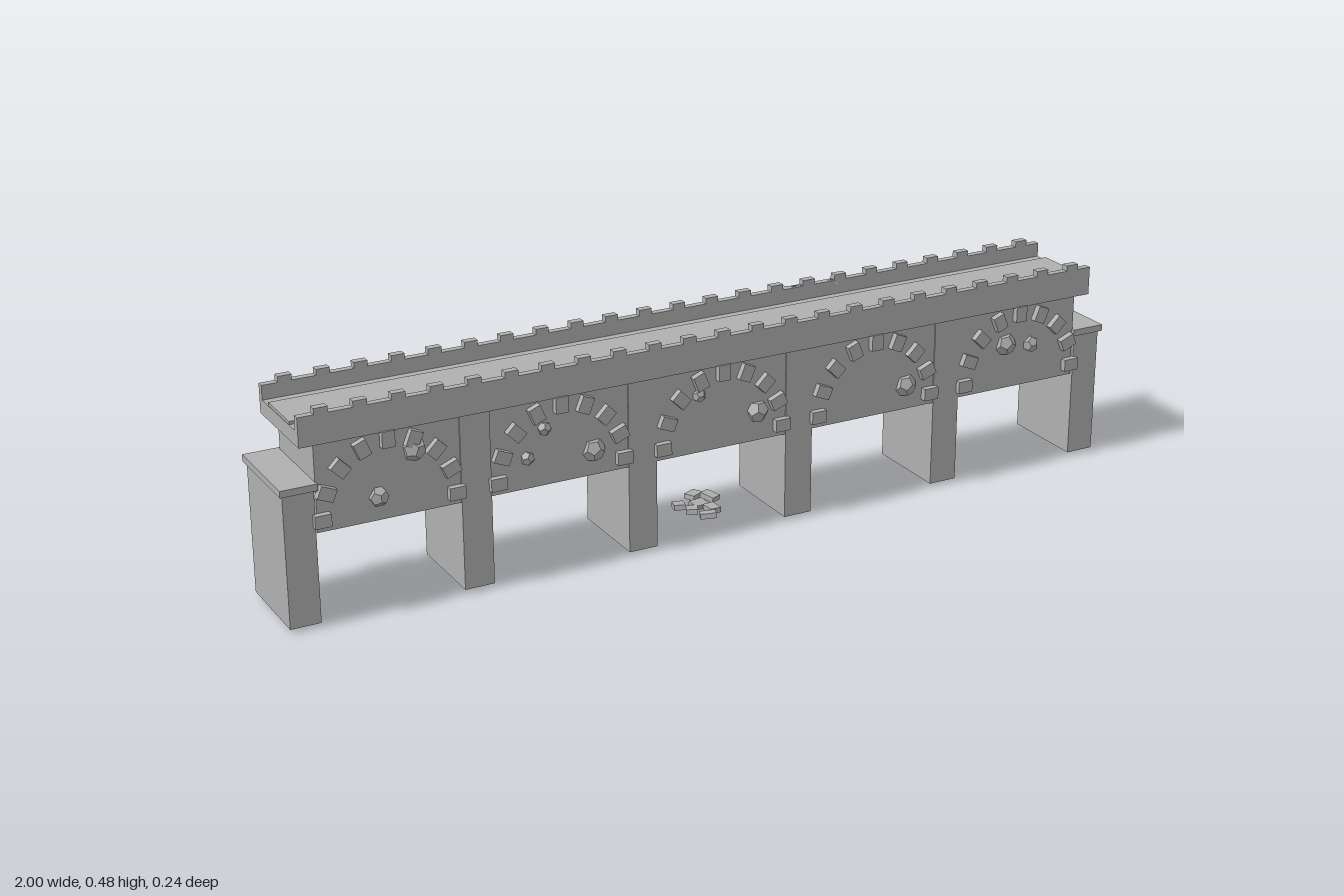
import * as THREE from 'three';

export function createModel() {
  const root = new THREE.Group();
  root.name = 'viaduct';
  const stone = new THREE.MeshStandardMaterial({ color: 0xb0b0b0, flatShading: true });
  stone.name = 'grey stone';

  const group = (name) => {
    const g = new THREE.Group();
    g.name = name;
    root.add(g);
    return g;
  };
  const add = (parent, name, geometry, x, y, z) => {
    const m = new THREE.Mesh(geometry, stone);
    m.name = name;
    m.position.set(x, y, z);
    parent.add(m);
    return m;
  };
  // Box given by its centre in x and z and its bottom and top heights
  const block = (parent, name, x, y0, y1, z, w, d) =>
    add(parent, name, new THREE.BoxGeometry(w, y1 - y0, d), x, (y0 + y1) / 2, z);

  let seed = 7;
  const rand = () => (seed = (seed * 16807) % 2147483647) / 2147483647;

  // Piers: the outer two are short and capped, the others reach the deck
  const piers = group('piers');
  const spacing = 0.384;
  for (let i = 0; i < 6; i++) {
    const x = (i - 2.5) * spacing;
    const end = i === 0 || i === 5;
    block(piers, 'pier', x, 0.013, end ? 0.305 : 0.402, 0, 0.067, 0.202);
    if (end) block(piers, 'pierCap', x, 0.305, 0.32, 0, 0.08, 0.216);
  }

  // Solid wall between the piers
  block(root, 'wall', 0, 0.21, 0.402, 0, 1.845, 0.197);

  // Deck, raised roadway and parapets with small merlons
  block(root, 'deck', 0, 0.402, 0.435, 0, 1.91, 0.216);
  block(root, 'roadway', 0, 0.435, 0.442, 0, 1.908, 0.118);
  const parapets = group('parapets');
  for (const s of [-1, 1]) {
    block(parapets, 'parapet', 0, 0.435, 0.467, s * 0.1, 1.91, 0.016);
    for (let i = 0; i < 23; i++)
      block(parapets, 'merlon', (i - 11) * 0.0823, 0.467, 0.48, s * 0.1, 0.03, 0.017);
  }

  // Arch stones set in a half ring on both faces of every span
  const arches = group('archStones');
  const archStone = new THREE.BoxGeometry(0.036, 0.028, 0.016);
  for (const s of [-1, 1])
    for (let span = -2; span <= 2; span++)
      for (let k = 0; k < 9; k++) {
        const a = (k / 8) * Math.PI;
        const m = add(arches, 'archStone', archStone,
          span * spacing + Math.cos(a) * 0.146, 0.238 + Math.sin(a) * 0.148, s * 0.105);
        m.rotation.z = a;
      }

  // Faceted lumps on the front wall: x, y, radius
  const lumps = group('wallLumps');
  const lumpSpots = [
    [-0.79, 0.262, 0.022], [-0.71, 0.35, 0.026], [-0.42, 0.337, 0.016], [-0.46, 0.278, 0.016],
    [-0.307, 0.267, 0.026], [-0.056, 0.342, 0.016], [0.088, 0.278, 0.026], [0.468, 0.267, 0.026],
    [0.735, 0.316, 0.026], [0.805, 0.305, 0.02],
  ];
  for (const [x, y, r] of lumpSpots) {
    const m = add(lumps, 'wallLump', new THREE.DodecahedronGeometry(r), x, y, 0.1);
    m.scale.z = 0.75;
    m.rotation.z = rand() * 3;
  }

  // Broken stones on the rear parapet
  const broken = group('brokenStones');
  for (let i = 0; i < 7; i++) {
    const m = add(broken, 'brokenStone', new THREE.BoxGeometry(0.022, 0.014, 0.016),
      0.28 + i * 0.019, 0.45 + rand() * 0.012, -0.106 + (rand() - 0.5) * 0.01);
    m.rotation.set(rand() - 0.5, rand() - 0.5, rand() - 0.5);
  }

  // Loose slabs on the ground beneath the middle span: x, y, z
  const rubble = group('rubble');
  const slabs = [
    [-0.02, 0.016, -0.06], [0.025, 0.014, -0.05], [0.065, 0.018, -0.07], [0.035, 0.018, -0.092],
    [-0.005, 0.016, -0.025], [0.04, 0.015, -0.015], [0.015, 0.015, 0.012],
  ];
  for (const [x, y, z] of slabs) {
    const m = add(rubble, 'slab', new THREE.BoxGeometry(0.036, 0.012, 0.026), x, y, z);
    m.rotation.set((rand() - 0.5) * 0.5, rand() * 3, (rand() - 0.5) * 0.5);
  }
  return root;
}
